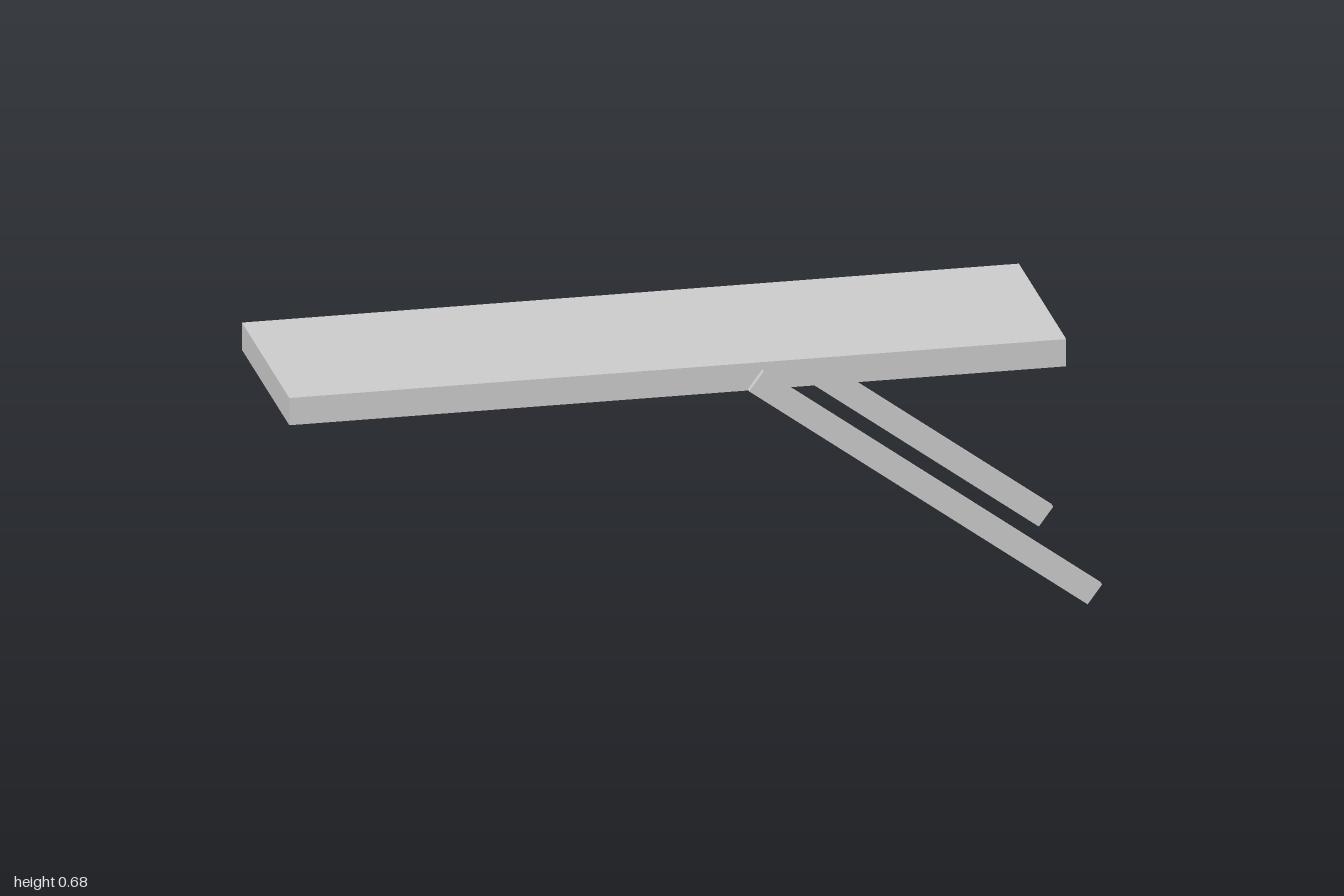
import * as THREE from 'three';

export function createModel() {
  const model = new THREE.Group();
  const material = new THREE.MeshStandardMaterial({ color: 0xcccccc, flatShading: true });

  function addBox(name, size, position, tilt = 0) {
    const mesh = new THREE.Mesh(new THREE.BoxGeometry(...size), material);
    mesh.name = name;
    mesh.position.set(...position);
    mesh.rotation.z = tilt;
    model.add(mesh);
  }

  // Flat board
  addBox('board', [1.915, 0.07, 0.535], [-0.0425, 0.645, 0.0025]);

  // Slanted legs, one against each long edge of the board
  const tilt = -THREE.MathUtils.degToRad(36.3);
  addBox('frontLeg', [1.035, 0.06, 0.019], [0.565, 0.331, 0.2765], tilt);
  addBox('backLeg', [1.035, 0.06, 0.02], [0.565, 0.331, -0.2755], tilt);

  return model;
}
